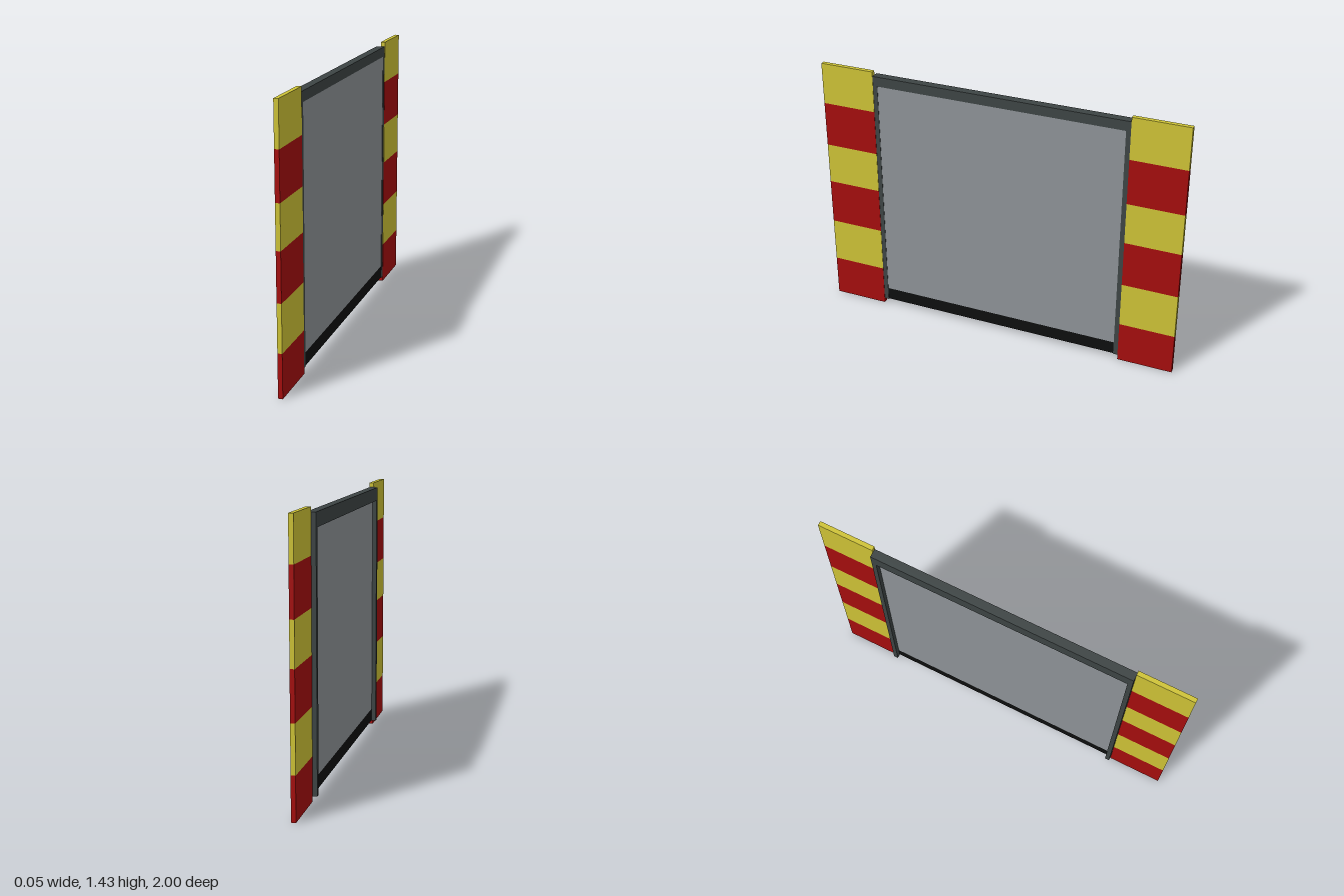
import * as THREE from 'three';

export function createModel() {
  const group = new THREE.Group();
  const mat = (name, color) => {
    const m = new THREE.MeshStandardMaterial({ color });
    m.name = name;
    return m;
  };
  const red = mat('warning red', 0xa50d0d);
  const yellow = mat('warning yellow', 0xcec336);
  const grey = mat('panel grey', 0x8e9397);
  const dark = mat('frame dark grey', 0x3d4444);
  const black = mat('rubber black', 0x0d0e0e);

  // Box given by its minimum and maximum corners
  const box = (name, material, [x0, y0, z0], [x1, y1, z1]) => {
    const mesh = new THREE.Mesh(new THREE.BoxGeometry(x1 - x0, y1 - y0, z1 - z0), material);
    mesh.position.set((x0 + x1) / 2, (y0 + y1) / 2, (z0 + z1) / 2);
    mesh.name = name;
    group.add(mesh);
  };

  const back = -0.024, front = 0.022, base = 0.027, top = 1.403;
  const stripes = [0, 0.228, 0.475, 0.727, 0.953, 1.2, 1.428];

  for (const side of [-1, 1]) {
    const span = (a, b) => (side > 0 ? [a, b] : [-b, -a]);
    // Striped side boards
    const [p0, p1] = span(0.7, 1);
    for (let i = 0; i < 6; i++) {
      box('boardStripe', i % 2 ? yellow : red, [0, stripes[i], p0], [0.024, stripes[i + 1], p1]);
    }
    // Upright guide rails
    const [r0, r1] = span(0.675, 0.7);
    box('sideRail', dark, [back, base, r0], [front, top, r1]);
  }

  // Header across the top, deeper on the back
  box('header', dark, [0, 1.35, -0.675], [front, top, 0.675]);
  box('headerBack', dark, [back, 1.33, -0.675], [0, top, 0.675]);

  // Door panel with rubber seal below
  box('doorPanel', grey, [0, 0.1, -0.675], [0.02, 1.35, 0.675]);
  box('bottomSeal', black, [0, 0.03, -0.675], [0.02, 0.1, 0.675]);

  return group;
}
